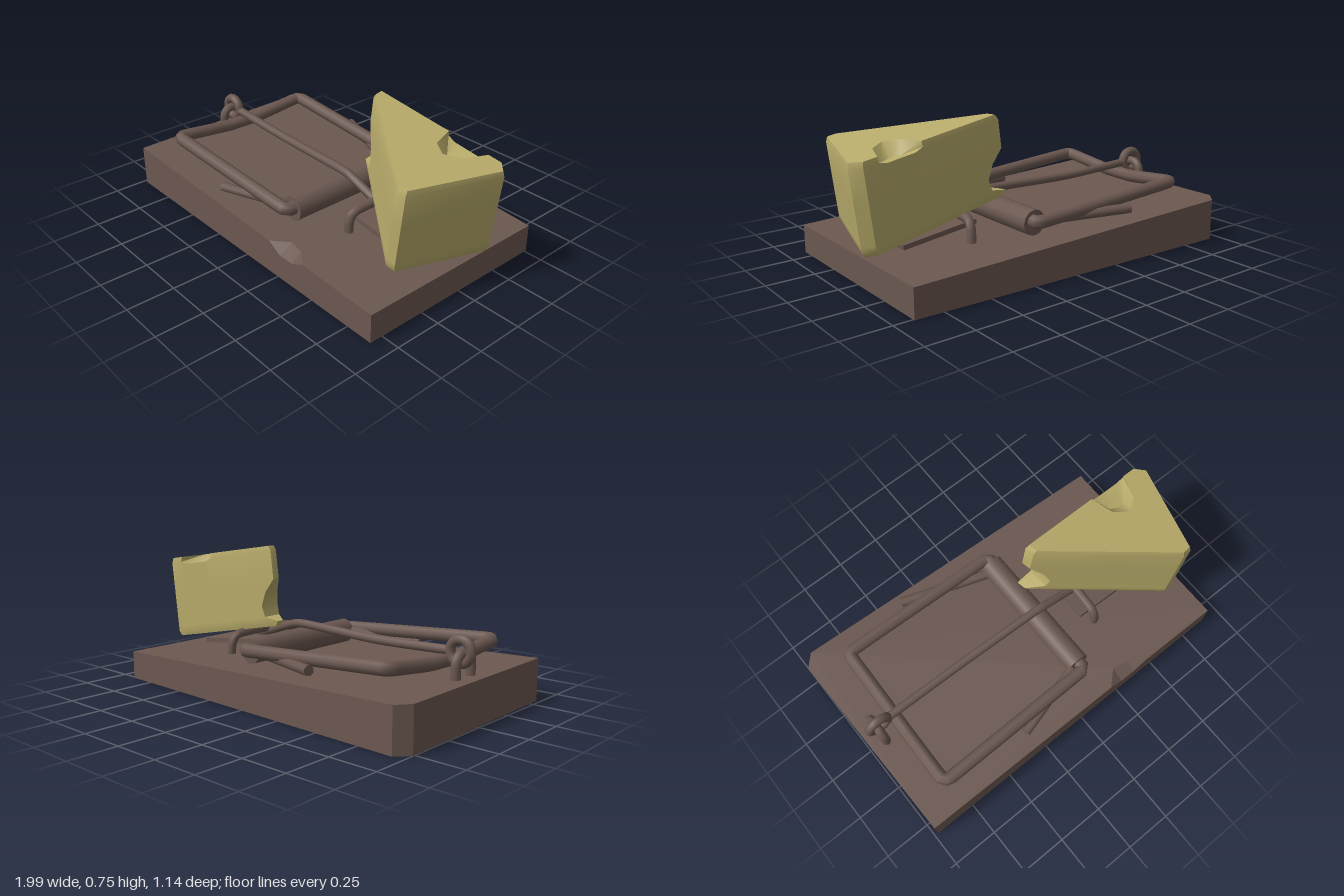
import * as THREE from 'three';
import { toCreasedNormals } from 'three/addons/utils/BufferGeometryUtils.js';

const V = (x, y, z) => new THREE.Vector3(x, y, z);
const lerp = THREE.MathUtils.lerp;

// Wooden board: clipped corner, sloping top and a chipped front edge
function boardGeometry() {
  const outline = [[-0.98, 0.57], [0.19, 0.57], [0.27, 0.495], [0.36, 0.512], [0.44, 0.57],
    [0.9, 0.57], [0.9, -0.51], [-0.94, -0.575], [-1, -0.51]];
  const shape = new THREE.Shape(outline.map(([x, z]) => new THREE.Vector2(x, -z)));
  const geo = new THREE.ExtrudeGeometry(shape, { depth: 1, steps: 2, bevelEnabled: false });
  geo.rotateX(-Math.PI / 2);
  const p = geo.attributes.position;
  for (let i = 0; i < p.count; i++) {
    const x = p.getX(i), layer = p.getY(i);
    const top = 0.222 - 0.038 * (x + 1);
    const chipped = x > 0.25 && x < 0.4;
    if (layer < 0.1) p.setY(i, 0);
    else p.setY(i, layer < 0.9 && chipped ? 0.132 : top);
    if (chipped && layer < 0.9) p.setZ(i, 0.57);
  }
  geo.computeVertexNormals();
  return geo;
}

// Leaning cheese wedge from stacked rings, with a bitten tip and a hole in the top
function cheeseGeometry() {
  const plan = [[0.185, -0.15], [0.195, -0.1], [0.81, 0.35], [0.86, 0.345], [0.995, -0.14], [0.945, -0.188],
    [0.87, -0.184], [0.82, -0.182], [0.745, -0.178], [0.67, -0.175], [0.63, -0.173]];
  const floor = { 7: [0.79, -0.09], 8: [0.745, -0.07], 9: [0.7, -0.09] };
  const rim = { 7: [0.82, -0.05], 8: [0.745, 0], 9: [0.67, -0.045] };
  const ring = (t, { bite = 0, inset = 0, hole = {}, drop = 0 }) => plan.map((pt, i) => {
    let [x, z] = hole[i] || pt;
    if (i < 2) { x += bite; z += bite * (i ? 0.72 : -0.05); }
    if (!hole[i]) { x = lerp(x, 0.7, inset); z = lerp(z, 0, inset); }
    const topY = 0.755 - 0.16 * (x - 0.2);
    x -= 0.055 * (1 - t);
    const bottomY = 0.345 - 0.2 * (x - 0.12);
    return V(x, lerp(bottomY, topY, t) - (i > 6 && i < 10 ? drop : 0), z);
  });
  const rings = [
    ring(0, { inset: 0.04 }), ring(0.06, {}), ring(0.13, { bite: 0.085 }), ring(0.27, { bite: 0.1 }),
    ring(0.44, { bite: 0.065 }), ring(0.59, {}), ring(0.94, { drop: 0.015 }),
    ring(0.94, { hole: floor, drop: 0.035 }), ring(1, { inset: 0.03, hole: rim }),
  ];
  const n = plan.length, index = [];
  for (let k = 0; k < rings.length - 1; k++) {
    for (let i = 0; i < n; i++) {
      const a = k * n + i, b = k * n + (i + 1) % n;
      index.push(a, b, b + n, a, b + n, a + n);
    }
  }
  const cap = (k, flip) => {
    const flat = rings[k].map((v) => new THREE.Vector2(v.x, -v.z));
    for (const [a, b, c] of THREE.ShapeUtils.triangulateShape(flat, [])) {
      index.push(k * n + a, k * n + (flip ? c : b), k * n + (flip ? b : c));
    }
  };
  cap(0, true);
  cap(rings.length - 1, false);
  const geo = new THREE.BufferGeometry().setFromPoints(rings.flat());
  geo.setIndex(index);
  return toCreasedNormals(geo, 0.7);
}

export function createModel() {
  const group = new THREE.Group();
  const brown = new THREE.MeshStandardMaterial({ color: 0x6b5850 });
  brown.name = 'brown';
  const yellow = new THREE.MeshStandardMaterial({ color: 0xb8ab6a });
  yellow.name = 'cheese yellow';

  const add = (name, geo, mat = brown) => {
    const mesh = new THREE.Mesh(geo, mat);
    mesh.name = name;
    group.add(mesh);
    return mesh;
  };
  const wire = (name, points, r, closed = false, segments = 32) => {
    const curve = new THREE.CatmullRomCurve3(points.map((q) => V(...q)), closed, 'catmullrom', closed ? 0.1 : 0.4);
    return add(name, new THREE.TubeGeometry(curve, segments, r, 8, closed));
  };
  const rod = (name, from, to, r, sides = 8) => {
    const a = V(...from), b = V(...to);
    const mesh = add(name, new THREE.CylinderGeometry(r, r, a.distanceTo(b), sides));
    mesh.position.copy(a).lerp(b, 0.5);
    mesh.quaternion.setFromUnitVectors(V(0, 1, 0), b.sub(a).normalize());
    return mesh;
  };

  add('board', boardGeometry());
  add('cheese', cheeseGeometry(), yellow);

  // Hammer frame with its spring and spring legs
  wire('hammer', [
    [-0.76, 0.312, -0.412], [0.1, 0.258, -0.402], [0.13, 0.255, -0.37],
    [0.13, 0.255, 0.38], [0.1, 0.258, 0.415], [-0.77, 0.312, 0.435],
    [-0.805, 0.31, 0.4], [-0.8, 0.28, 0.1], [-0.795, 0.28, -0.1], [-0.79, 0.31, -0.38],
  ], 0.035, true, 120);
  rod('spring', [0.12, 0.245, -0.36], [0.12, 0.245, 0.37], 0.066, 12);
  rod('springLegBack', [0.08, 0.24, -0.33], [-0.4, 0.255, -0.49], 0.026);
  rod('springLegFront', [0.08, 0.25, 0.37], [-0.32, 0.222, 0.48], 0.024);

  // Locking arm with its ring and staple
  wire('lockingArm', [
    [-0.83, 0.335, 0], [-0.4, 0.322, 0.005], [0.1, 0.332, 0.025],
    [0.2, 0.318, 0.03], [0.33, 0.275, 0.03], [0.45, 0.235, 0.03],
  ], 0.023);
  const ring = add('armRing', new THREE.TorusGeometry(0.056, 0.025, 8, 20));
  ring.position.set(-0.888, 0.337, 0);
  wire('armStaple', [
    [-0.905, 0.17, 0.062], [-0.905, 0.29, 0.06], [-0.905, 0.33, 0.03],
    [-0.905, 0.33, -0.03], [-0.905, 0.29, -0.06], [-0.905, 0.17, -0.062],
  ], 0.024);

  // Bait pedal with its staple
  const pedal = add('pedal', new THREE.BoxGeometry(0.42, 0.025, 0.31));
  pedal.position.set(0.515, 0.207, 0.02);
  pedal.rotation.z = -0.12;
  wire('pedalStaple', [
    [0.37, 0.14, 0.22], [0.37, 0.23, 0.215], [0.375, 0.275, 0.16],
    [0.39, 0.275, -0.16], [0.4, 0.24, -0.22], [0.405, 0.14, -0.235],
  ], 0.024);

  return group;
}
